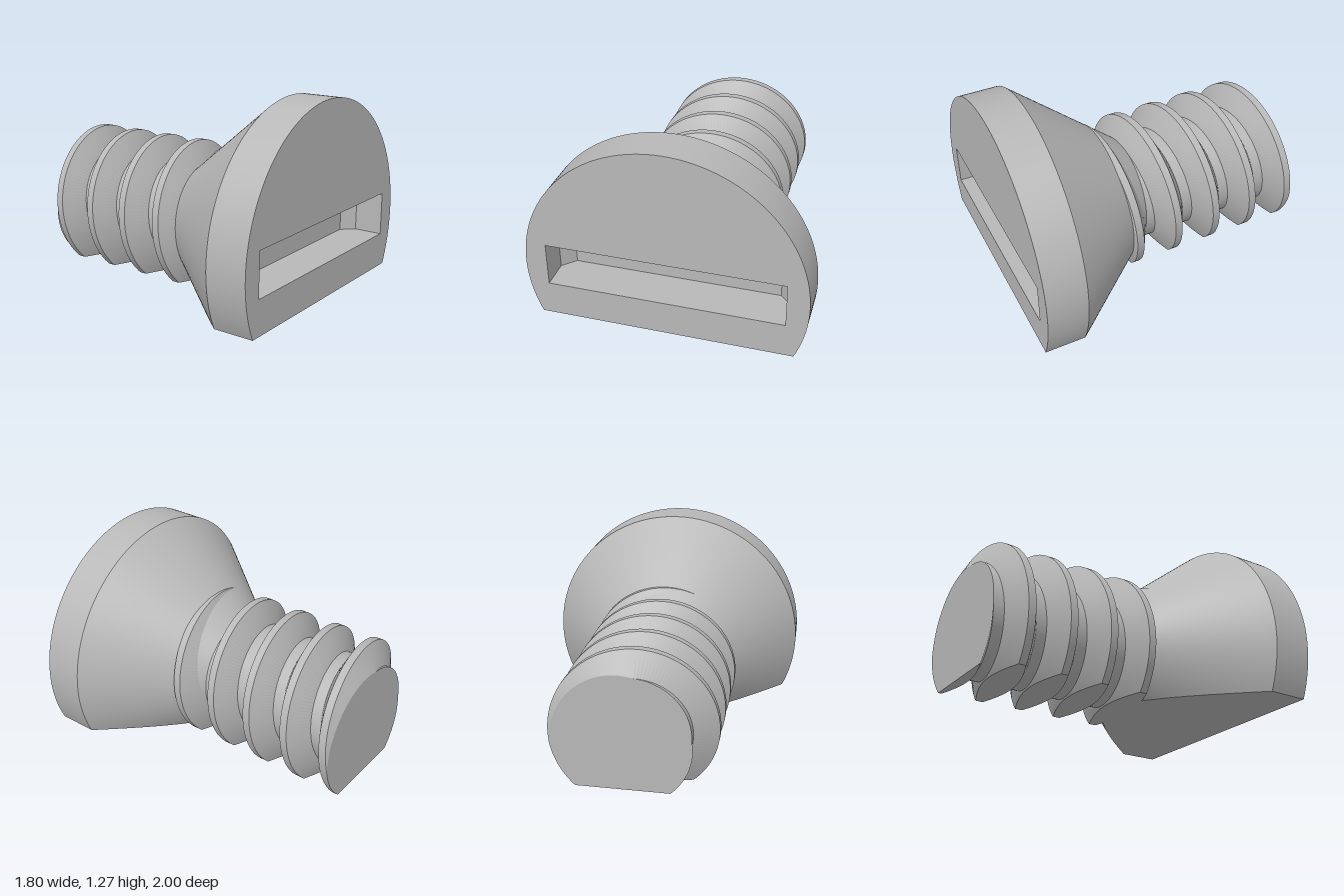
import * as THREE from 'three';
import { toCreasedNormals } from 'three/addons/utils/BufferGeometryUtils.js';

const AXIS = 0.375;                    // height of the screw axis above the flat underside
const HEAD_R = 0.9, CORE_R = 0.365, THREAD_R = 0.515;
const BACK = -1, FRONT = 1, RIM = 0.73, SLOPE = 0.8;
const PITCH = 0.287, BASE = 0.1075, CREST = 0.025;

// angle below horizontal at which a circle of radius r meets the flat underside
const cutAngle = (r) => Math.asin(Math.min(1, AXIS / r));
const polar = (r, a, z) => [r * Math.cos(a), AXIS + r * Math.sin(a), z];

// skin between successive paths of equal length
function loft(paths) {
  const n = paths[0].length, index = [];
  for (let j = 0; j < paths.length - 1; j++) {
    for (let i = 0; i < n - 1; i++) {
      const a = j * n + i, c = a + n;
      index.push(c, c + 1, a, c + 1, a + 1, a);
    }
  }
  const g = new THREE.BufferGeometry();
  g.setAttribute('position', new THREE.Float32BufferAttribute(paths.flat(2), 3));
  g.setIndex(index);
  return toCreasedNormals(g, 0.5);
}

// closed circle section with its underside cut flat
function section(r, z, steps = 120) {
  const a = cutAngle(r), ring = [];
  for (let i = 0; i <= steps; i++) ring.push(polar(r, -a + (Math.PI + 2 * a) * i / steps, z));
  ring.push(ring[0]);
  return ring;
}

// rim followed by the cone narrowing to the core
function headGeometry() {
  const rings = [section(HEAD_R, FRONT)];
  for (let i = 0; i <= 20; i++) {
    const t = 1 - i / 20, r = AXIS + (HEAD_R - AXIS) * t * t;
    rings.push(section(r, RIM - (HEAD_R - r) / SLOPE));
  }
  rings.push(section(CORE_R, RIM - (HEAD_R - CORE_R) / SLOPE));
  return loft(rings);
}

// front plate with the slot opening
function faceGeometry() {
  const shape = new THREE.Shape();
  const a = cutAngle(HEAD_R);
  shape.absarc(0, AXIS, HEAD_R, -a, Math.PI + a, false);
  shape.closePath();
  const hole = new THREE.Path();
  hole.moveTo(-0.76, 0.23).lineTo(-0.76, 0.52).lineTo(0.76, 0.52).lineTo(0.76, 0.23).closePath();
  shape.holes.push(hole);
  return new THREE.ShapeGeometry(shape, 120).translate(0, 0, FRONT);
}

// slot walls, wound inward, with bevelled ends
function slotGeometry() {
  const ring = (x, z) => [[-x, 0.23, z], [-x, 0.52, z], [x, 0.52, z], [x, 0.23, z], [-x, 0.23, z]];
  return loft([ring(0.76, FRONT), ring(0.76, 0.81), ring(0.68, RIM)]);
}

// helical trapezoid ridge, trimmed by the underside and the back plane
function threadGeometry() {
  const a = cutAngle(THREAD_R), angles = [];
  for (let turn = -4; turn <= 1; turn++) {
    const start = turn * 2 * Math.PI;
    for (let i = 0; i < 96; i++) angles.push(start - a + (Math.PI + 2 * a) * i / 96);
    for (let i = 0; i < 32; i++) angles.push(start + Math.PI + a + (Math.PI - 2 * a) * i / 32);
  }
  const paths = [[], [], [], [], [], []];
  for (const phi of angles) {
    const s = Math.sin(phi);
    const limit = s < 0 ? Math.min(THREAD_R, AXIS / -s) : THREAD_R;
    const crest = BASE + (CREST - BASE) * (limit - CORE_R) / (THREAD_R - CORE_R);
    const mid = -0.105 + PITCH * phi / (2 * Math.PI);
    const radius = (d) => THREE.MathUtils.clamp(
      CORE_R + (BASE - Math.abs(d)) / (BASE - CREST) * (THREAD_R - CORE_R), CORE_R, limit);
    [BASE, BASE, crest, -crest, -BASE, -BASE].forEach((d, k) => {
      const z = Math.max(mid + d, BACK);
      const r = k === 0 || k === 5 ? 0.3 : radius(z - mid);
      paths[k].push(polar(r, phi, z));
    });
  }
  return loft(paths);
}

export function createModel() {
  const model = new THREE.Group();
  model.name = 'slottedScrew';
  const grey = new THREE.MeshStandardMaterial({ color: 0xb8b8b8 });
  grey.name = 'plainGrey';

  const add = (name, geometry) => {
    const mesh = new THREE.Mesh(geometry, grey);
    mesh.name = name;
    model.add(mesh);
  };

  add('head', headGeometry());
  add('headFace', faceGeometry());
  add('slotWalls', slotGeometry());
  add('slotFloor', new THREE.PlaneGeometry(1.36, 0.29).translate(0, 0.375, RIM));
  add('core', new THREE.CylinderGeometry(CORE_R, CORE_R, 1.08, 96)
    .rotateX(Math.PI / 2).translate(0, AXIS, BACK + 0.54));
  add('thread', threadGeometry());
  return model;
}
